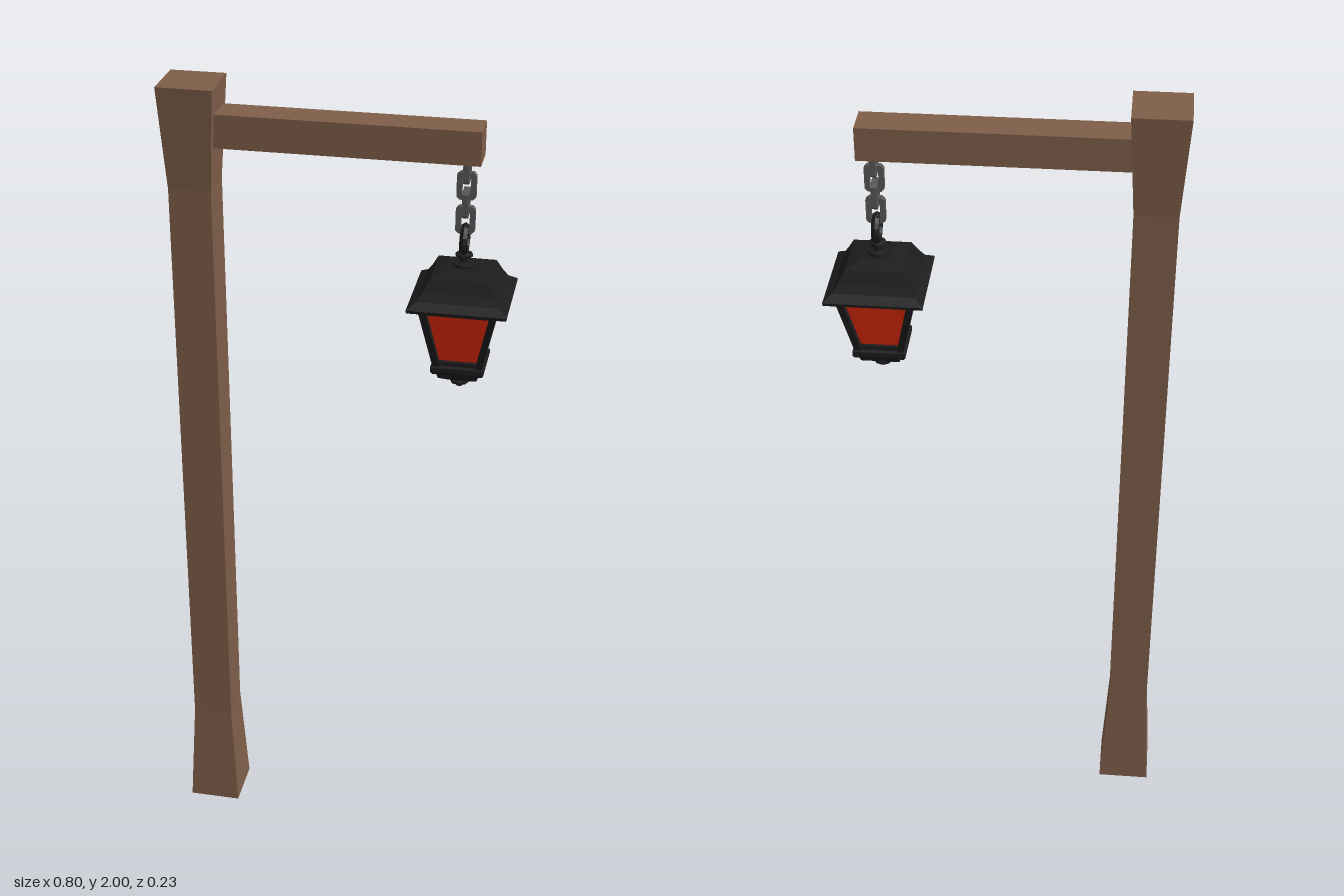
import * as THREE from 'three';

const mat = (name, color) => {
  const m = new THREE.MeshStandardMaterial({ color });
  m.name = name;
  return m;
};

// Give every face its own normal so edges stay sharp.
function facet(geo) {
  const g = geo.index ? geo.toNonIndexed() : geo;
  g.computeVertexNormals();
  return g;
}

// Square solid from [half width, y] pairs listed bottom to top.
function squareLathe(profile) {
  const pts = profile.map(([h, y]) => new THREE.Vector2(h * Math.SQRT2, y));
  return facet(new THREE.LatheGeometry(pts, 4, Math.PI / 4));
}

// Round solid from [radius, y] pairs listed bottom to top.
function roundLathe(profile) {
  return facet(new THREE.LatheGeometry(profile.map(([r, y]) => new THREE.Vector2(r, y)), 8));
}

// Rectangle with clipped corners, as a list of points.
function clippedRect(w, h, c) {
  return [[w - c, -h], [w, c - h], [w, h - c], [w - c, h], [c - w, h], [-w, h - c], [-w, c - h], [c - w, -h]]
    .map(([x, y]) => new THREE.Vector2(x, y));
}

export function createModel() {
  const wood = mat('brown wood', 0x7e5e49);
  const iron = mat('black iron', 0x1c1c1c);
  const steel = mat('grey chain', 0x585858);
  const glass = mat('red glass', 0xe82a08);

  const model = new THREE.Group();
  model.name = 'hangingLanternPost';
  const add = (parent, name, geo, material, x = 0, y = 0, z = 0) => {
    const mesh = new THREE.Mesh(geo, material);
    mesh.name = name;
    mesh.position.set(x, y, z);
    parent.add(mesh);
    return mesh;
  };

  // Post, flared at both ends
  add(model, 'post', squareLathe([
    [0, 0], [0.065, 0], [0.05, 0.28], [0.05, 1.76], [0.065, 2], [0, 2],
  ]), wood, -0.337);

  // Crossarm
  add(model, 'arm', new THREE.BoxGeometry(0.612, 0.078, 0.08), wood, 0.015, 1.899, 0);

  // Everything that hangs from the arm
  const hanging = new THREE.Group();
  hanging.name = 'hangingLantern';
  hanging.position.x = 0.287;
  model.add(hanging);

  // Chain links, turned alternately
  const linkShape = new THREE.Shape(clippedRect(0.022, 0.032, 0.007));
  linkShape.holes.push(new THREE.Path(clippedRect(0.01, 0.02, 0.003)));
  const linkGeo = new THREE.ExtrudeGeometry(linkShape, { depth: 0.014, bevelEnabled: false });
  linkGeo.translate(0, 0, -0.007);
  for (let i = 0; i < 4; i++) {
    add(hanging, 'chainLink', linkGeo, steel, 0, 1.84 - i * 0.04, 0)
      .rotation.y = i % 2 ? 0 : Math.PI / 2;
  }

  // Ring and neck on top of the roof
  add(hanging, 'ring', facet(new THREE.TorusGeometry(0.027, 0.01, 6, 16)), iron, 0, 1.673, 0)
    .rotation.y = Math.PI / 2;
  add(hanging, 'neck', roundLathe([
    [0, 1.6], [0.024, 1.6], [0.024, 1.614], [0.01, 1.618], [0.01, 1.63],
    [0.02, 1.632], [0.02, 1.638], [0.009, 1.642], [0, 1.65],
  ]), iron);

  // Roof with flared eaves
  add(hanging, 'roof', squareLathe([
    [0, 1.517], [0.088, 1.517], [0.098, 1.527], [0.113, 1.53], [0.114, 1.537],
    [0.094, 1.551], [0.082, 1.57], [0.067, 1.599], [0.035, 1.609], [0, 1.609],
  ]), iron);

  // Glass body
  add(hanging, 'glass', squareLathe([
    [0, 1.378], [0.043, 1.378], [0.074, 1.52], [0, 1.52],
  ]), glass);

  // Corner bars of the cage
  const up = new THREE.Vector3(0, 1, 0);
  for (const sx of [-1, 1]) {
    for (const sz of [-1, 1]) {
      const a = new THREE.Vector3(sx * 0.048, 1.37, sz * 0.048);
      const b = new THREE.Vector3(sx * 0.081, 1.522, sz * 0.081);
      const dir = b.clone().sub(a);
      const bar = add(hanging, 'cornerBar', new THREE.BoxGeometry(0.016, dir.length(), 0.016), iron);
      bar.position.copy(a).add(b).multiplyScalar(0.5);
      bar.quaternion.setFromUnitVectors(up, dir.normalize());
    }
  }

  // Stepped base and bottom knob
  add(hanging, 'base', squareLathe([
    [0, 1.326], [0.022, 1.326], [0.045, 1.34], [0.05, 1.353], [0.058, 1.356],
    [0.062, 1.363], [0.062, 1.374], [0.054, 1.377], [0.054, 1.387], [0, 1.387],
  ]), iron);
  add(hanging, 'bottomKnob', roundLathe([
    [0, 1.303], [0.009, 1.305], [0.012, 1.312], [0.022, 1.314], [0.022, 1.321],
    [0.014, 1.324], [0.014, 1.335], [0, 1.335],
  ]), iron);

  return model;
}
